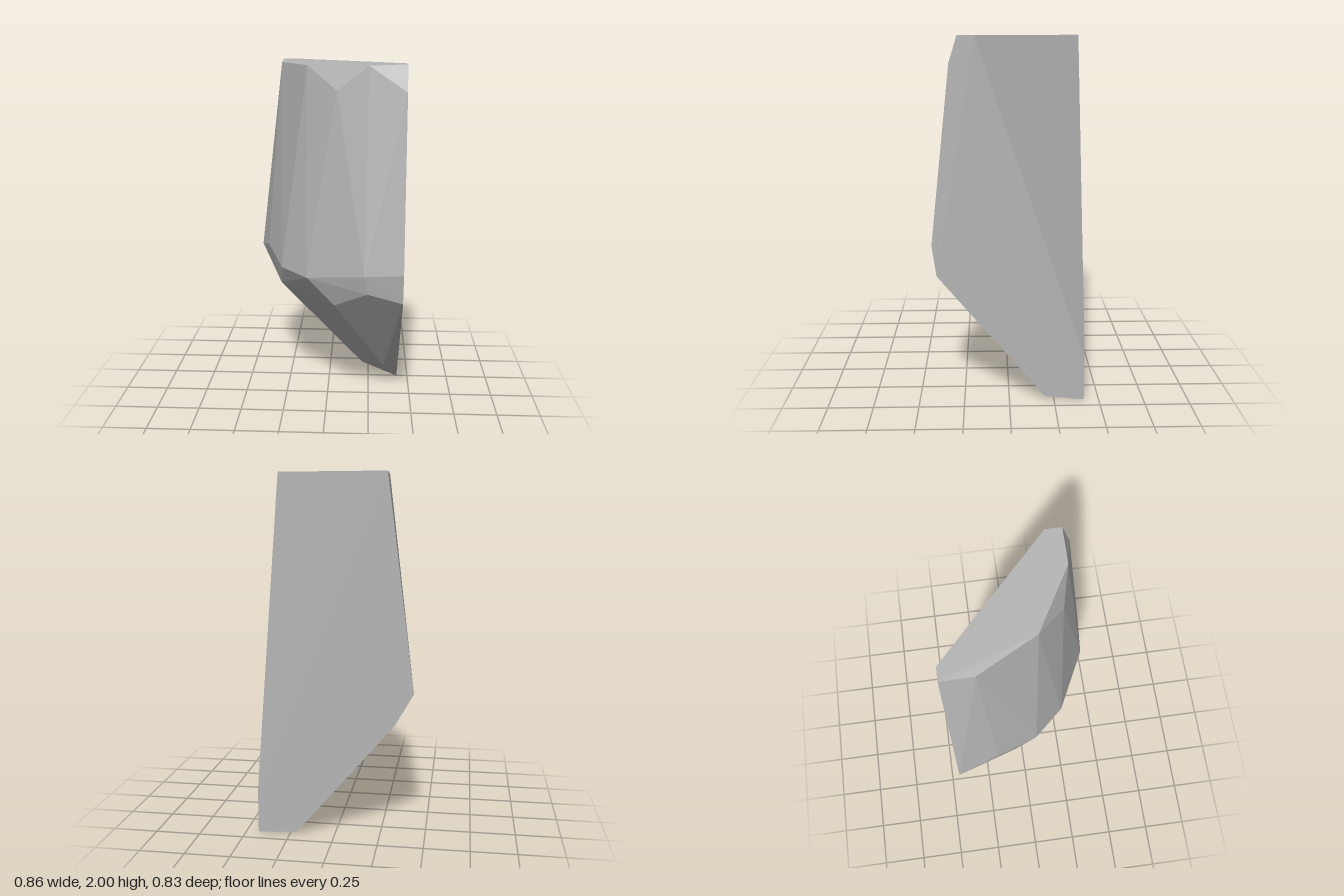
import * as THREE from 'three';
import { ConvexGeometry } from 'three/addons/geometries/ConvexGeometry.js';

export function createModel() {
  const group = new THREE.Group();
  group.name = 'rockShard';
  const stone = new THREE.MeshStandardMaterial({ color: 0xb4b4b4 });
  stone.name = 'grey stone';

  // The two flat fracture planes: right side and back
  const X = 0.43, Z = -0.417;

  // Corners by level; the shard is their faceted convex hull
  const cap = [
    [-0.282, 1.988, Z], [-0.207, 1.989, Z], [X, 2, 0.18], [X, 2, 0.267],
    [0.23, 1.993, 0.265], [-0.108, 1.982, 0.073], [-0.276, 1.979, -0.242],
  ];
  const shoulder = [[0.06, 1.86, 0.224], [X, 1.86, 0.311]];
  const belly = [
    [-0.432, 0.83, Z], [-0.365, 0.895, -0.177], [-0.265, 0.825, 0.06],
    [-0.108, 0.82, 0.235], [0.218, 0.885, 0.4], [X, 0.9, 0.417],
  ];
  const lowerBelly = [
    [-0.33, 0.65, Z], [-0.28, 0.69, -0.06], [0.05, 0.665, 0.255],
    [0.235, 0.78, 0.385], [X, 0.73, 0.393],
  ];
  const foot = [
    [0.342, 0.15, -0.075], [X, 0.245, Z], [X, 0.022, -0.2],
    [0.21, 0.015, Z], [X, 0, Z],
  ];

  const corners = [cap, shoulder, belly, lowerBelly, foot].flat()
    .map((p) => new THREE.Vector3(...p));
  const shard = new THREE.Mesh(new ConvexGeometry(corners), stone);
  shard.name = 'shard';
  group.add(shard);
  return group;
}
